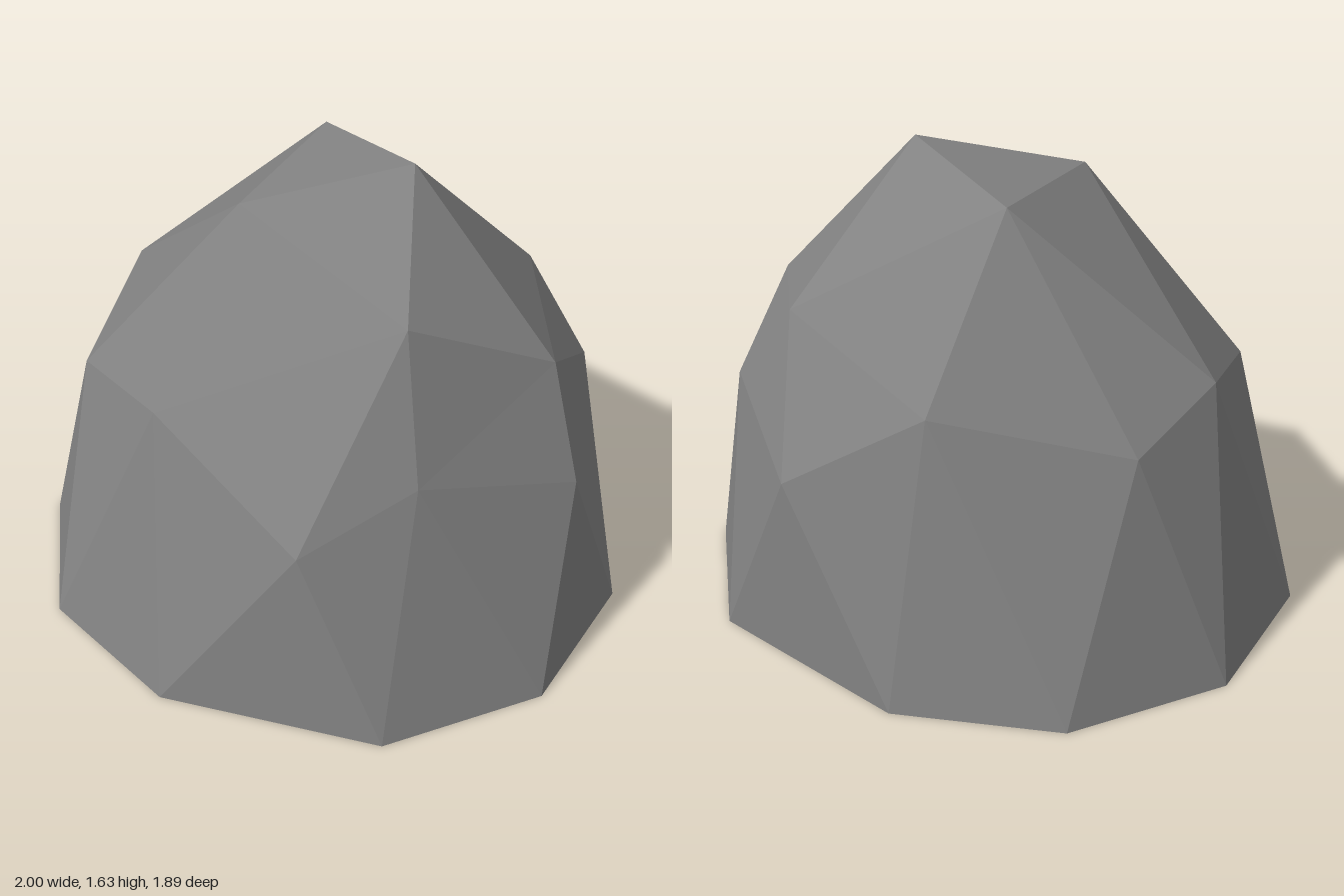
import * as THREE from 'three';

// Low-poly boulder: an open-bottomed, faceted dome made of irregular rings.
export function createModel() {
  const group = new THREE.Group();
  group.name = 'boulder';

  const stone = new THREE.MeshStandardMaterial({ color: 0x828282 });
  stone.name = 'grey stone';
  stone.flatShading = true;
  stone.side = THREE.DoubleSide; // the shell is open underneath

  // Rings run from +x towards +z
  const peak = [0.26, 1.63, -0.1];
  const crown = [
    [0.79, 1.05, -0.1], [0.47, 1.31, 0.32], [-0.2, 1.51, 0.22],
    [-0.2, 1.55, -0.33], [0.49, 1.13, -0.53],
  ];
  const waist = [
    [0.93, 0.67, -0.02], [0.6, 0.84, 0.47], [0.34, 0.67, 0.78], [-0.27, 0.93, 0.65],
    [-0.71, 0.84, 0.42], [-0.82, 0.98, -0.08], [-0.71, 0.84, -0.42],
    [-0.13, 0.98, -0.73], [0.35, 0.67, -0.83], [0.73, 0.83, -0.5],
  ];
  const base = [
    [1, 0, 0.295], [0.65, 0, 0.765], [-0.1, 0, 0.945], [-0.65, 0, 0.765], [-1, 0, 0.295],
    [-1, 0, -0.295], [-0.65, 0, -0.765], [-0.1, 0, -0.945], [0.65, 0, -0.765], [1, 0, -0.295],
  ];

  const positions = [];
  const at = (ring, i) => ring[(i + ring.length) % ring.length];
  const face = (a, b, c) => positions.push(...a, ...b, ...c);

  // Cap around the peak, then the facets from crown to waist
  for (let i = 0; i < 5; i++) {
    const u = crown[i], next = at(crown, i + 1);
    const mid = at(waist, 2 * i);
    const ahead = at(waist, 2 * i + 1);
    face(peak, next, u);
    face(u, next, ahead);
    face(u, ahead, mid);
    face(u, mid, at(waist, 2 * i - 1));
  }

  // Zigzag wall from waist to ground
  for (let k = 0; k < 10; k++) {
    face(waist[k], base[k], at(base, k - 1));
    face(waist[k], at(waist, k + 1), base[k]);
  }

  const geometry = new THREE.BufferGeometry();
  geometry.setAttribute('position', new THREE.Float32BufferAttribute(positions, 3));
  geometry.computeVertexNormals();

  const shell = new THREE.Mesh(geometry, stone);
  shell.name = 'rockShell';
  group.add(shell);
  return group;
}
